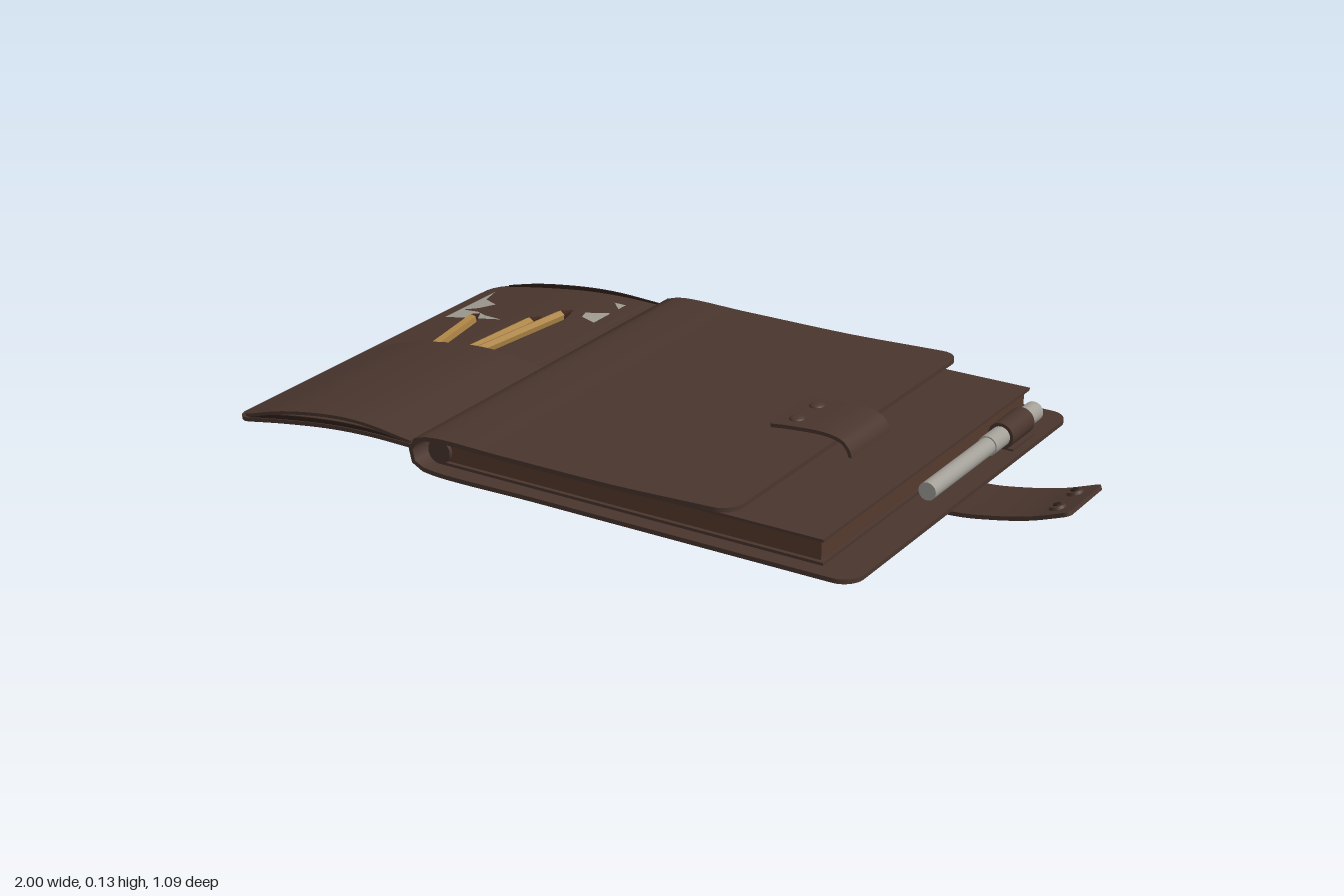
import * as THREE from 'three';

const mat = (name, color, side = THREE.FrontSide) => {
  const m = new THREE.MeshStandardMaterial({ color, side });
  m.name = name;
  return m;
};

// Smooth curve through x,y points
const curveOf = (pts) =>
  new THREE.CatmullRomCurve3(pts.map(([x, y]) => new THREE.Vector3(x, y, 0)), false, 'centripetal');

// Leather sheet: a flat section swept along an x,y path, with rounded corners at either end
function sheetGeometry(pts, z0, z1, thick, rStart = 0, rEnd = 0) {
  const curve = curveOf(pts);
  const len = curve.getLength();
  const stations = [];
  const arc = 8;
  if (rStart) for (let i = 0; i < arc; i++) {
    const a = (i / arc) * Math.PI / 2;
    stations.push([rStart * (1 - Math.cos(a)), rStart * (1 - Math.sin(a))]);
  }
  const n = 64;
  for (let i = 0; i <= n; i++) stations.push([rStart + (len - rStart - rEnd) * i / n, 0]);
  if (rEnd) for (let i = arc - 1; i >= 0; i--) {
    const a = (i / arc) * Math.PI / 2;
    stations.push([len - rEnd * (1 - Math.cos(a)), rEnd * (1 - Math.sin(a))]);
  }
  const rings = stations.map(([s, inset]) => {
    const u = Math.min(1, Math.max(0, s / len));
    const p = curve.getPointAt(u), t = curve.getTangentAt(u);
    const nx = -t.y * thick / 2, ny = t.x * thick / 2;
    return [
      [p.x + nx, p.y + ny, z0 + inset], [p.x + nx, p.y + ny, z1 - inset],
      [p.x - nx, p.y - ny, z1 - inset], [p.x - nx, p.y - ny, z0 + inset],
    ];
  });
  const pos = [], idx = [];
  for (let k = 0; k < 4; k++) {
    const base = pos.length / 3;
    rings.forEach((r) => pos.push(...r[k], ...r[(k + 1) % 4]));
    for (let i = 0; i < rings.length - 1; i++) {
      const a = base + i * 2;
      idx.push(a, a + 1, a + 2, a + 1, a + 3, a + 2);
    }
  }
  for (const cap of [[...rings[0]].reverse(), rings[rings.length - 1]]) {
    const b = pos.length / 3;
    cap.forEach((v) => pos.push(...v));
    idx.push(b, b + 1, b + 2, b, b + 2, b + 3);
  }
  const g = new THREE.BufferGeometry();
  g.setAttribute('position', new THREE.Float32BufferAttribute(pos, 3));
  g.setIndex(idx);
  g.computeVertexNormals();
  return g;
}

export function createModel() {
  const model = new THREE.Group();
  model.name = 'leatherFolio';
  const leather = mat('leather', 0x4a362e);
  const pageEdge = mat('notebook edge brown', 0x553a2d);
  const dark = mat('dark leather', 0x30211b);
  const silver = mat('pen grey', 0xa3a098);
  const paper = mat('paper grey', 0xa09c92, THREE.DoubleSide);
  const wood = mat('pencil yellow', 0xa98243);
  const tip = mat('pencil tip', 0x3c241a);

  const add = (name, geo, material, x = 0, y = 0, z = 0, parent = model) => {
    const m = new THREE.Mesh(geo, material);
    m.name = name;
    m.position.set(x, y, z);
    parent.add(m);
    return m;
  };
  const box = (name, x0, x1, y0, y1, z0, z1, material) =>
    add(name, new THREE.BoxGeometry(x1 - x0, y1 - y0, z1 - z0), material,
      (x0 + x1) / 2, (y0 + y1) / 2, (z0 + z1) / 2);

  // Cover: back board, rounded spine and front board in one wrap
  add('cover', sheetGeometry([
    [0.71, 0.016], [0.3, 0.016], [-0.1, 0.016], [-0.42, 0.017], [-0.45, 0.027], [-0.462, 0.055],
    [-0.45, 0.085], [-0.41, 0.098], [-0.2, 0.099], [0.1, 0.1], [0.3, 0.107], [0.41, 0.111],
  ], -0.545, 0.54, 0.011, 0.05, 0.05), leather);
  add('coverLining', sheetGeometry([[-0.15, 0.088], [0.1, 0.091], [0.39, 0.1]],
    -0.52, 0.51, 0.005, 0, 0.04), leather);

  // Notebook with recessed page block and a round spine
  box('notebookBack', -0.41, 0.615, 0.022, 0.029, -0.51, 0.5, leather);
  box('notebookPages', -0.4, 0.605, 0.029, 0.077, -0.5, 0.49, pageEdge);
  box('notebookFront', -0.41, 0.615, 0.077, 0.084, -0.51, 0.5, leather);
  const spine = add('notebookSpine', new THREE.CylinderGeometry(0.031, 0.031, 1.01, 20), leather, -0.41, 0.053, -0.005);
  spine.rotation.x = Math.PI / 2;

  // Side flap with a raised pocket
  const flapPts = [[-1, 0.018], [-0.85, 0.044], [-0.7, 0.064], [-0.58, 0.071], [-0.46, 0.07]];
  add('sideFlap', sheetGeometry(flapPts, -0.54, 0.54, 0.01, 0.05, 0), leather);
  add('flapPocket', sheetGeometry(
    [[-0.99, 0.025], [-0.85, 0.066], [-0.7, 0.09], [-0.6, 0.093], [-0.465, 0.078]],
    0, 0.538, 0.008, 0.05, 0), leather);
  for (const z of [-0.537, 0.533])
    add('pocketStitchEdge', sheetGeometry(
      [[-0.95, 0.03], [-0.85, 0.053], [-0.7, 0.073], [-0.6, 0.078], [-0.465, 0.073]],
      z, z + 0.004, 0.012), dark);
  const samples = curveOf(flapPts).getPoints(120);
  const flapY = (x) =>
    samples.reduce((a, b) => (Math.abs(b.x - x) < Math.abs(a.x - x) ? b : a)).y;

  // Pencils tucked in the pocket
  const pencil = (tx, tz, bx, bz) => {
    const g = new THREE.Group();
    g.name = 'pencil';
    const a = new THREE.Vector3(bx, flapY(bx) + 0.013, bz);
    const b = new THREE.Vector3(tx, flapY(tx) + 0.013, tz);
    const dir = b.clone().sub(a), len = dir.length(), cone = 0.05;
    g.position.copy(a);
    g.quaternion.setFromUnitVectors(new THREE.Vector3(0, 1, 0), dir.normalize());
    const hex = (name, r1, r0, y0, y1, m) => add(name,
      new THREE.CylinderGeometry(r1, r0, y1 - y0, 6).toNonIndexed(), m, 0, (y0 + y1) / 2, 0, g)
      .geometry.computeVertexNormals();
    hex('pencilBarrel', 0.015, 0.015, 0, len - cone, wood);
    hex('pencilPoint', 0.001, 0.015, len - cone, len, tip);
    model.add(g);
  };
  pencil(-0.86, -0.275, -0.795, 0.04);
  pencil(-0.625, -0.365, -0.672, 0.04);
  pencil(-0.672, -0.29, -0.694, 0.04);

  // Paper showing on the flap
  const scraps = [
    [[-0.95, -0.47], [-0.93, -0.4], [-0.87, -0.36], [-0.9, -0.325], [-0.94, -0.31], [-0.88, -0.295],
      [-0.84, -0.27], [-0.77, -0.245], [-0.95, -0.245]],
    [[-0.565, -0.47], [-0.53, -0.47], [-0.53, -0.435]],
    [[-0.53, -0.4], [-0.59, -0.37], [-0.58, -0.34], [-0.53, -0.32]],
  ];
  scraps.forEach((pts) => {
    const g = new THREE.ShapeGeometry(new THREE.Shape(pts.map(([x, z]) => new THREE.Vector2(x, -z))));
    g.rotateX(-Math.PI / 2);
    const p = g.attributes.position;
    for (let i = 0; i < p.count; i++) p.setY(i, flapY(p.getX(i)) + 0.011);
    g.computeVertexNormals();
    add('paperScrap', g, paper);
  });

  // Closing strap, attached under the back board
  add('closingStrap', sheetGeometry(
    [[0.37, 0.006], [0.55, 0.006], [0.72, 0.007], [0.8, 0.018], [0.9, 0.04], [0.998, 0.074]],
    -0.095, 0.085, 0.01, 0.01, 0.015), leather);
  // Clasp tab folding over the front board
  add('claspTab', sheetGeometry(
    [[0.235, 0.117], [0.3, 0.124], [0.39, 0.127], [0.43, 0.117], [0.447, 0.098], [0.453, 0.08]],
    -0.095, 0.09, 0.009, 0.012, 0), leather);

  // Snap studs on strap and clasp
  for (const z of [-0.05, 0.042]) {
    const stud = new THREE.SphereGeometry(0.02, 16, 8, 0, Math.PI * 2, 0, Math.PI / 2).scale(1, 0.45, 1);
    add('claspStud', stud, leather, 0.285, 0.126, z);
    const ring = add('strapStud', new THREE.CylinderGeometry(0.018, 0.022, 0.012, 18), leather, 0.95, 0.063, z);
    ring.rotation.z = 0.32;
    const core = add('strapStudCentre', new THREE.CylinderGeometry(0.009, 0.009, 0.006, 14), dark, 0.948, 0.069, z);
    core.rotation.z = 0.32;
  }

  // Pen in its leather loop
  const rod = (name, r, z0, z1, m) => {
    add(name, new THREE.CylinderGeometry(r, r, z1 - z0, 24), m, 0.656, 0.053, (z0 + z1) / 2)
      .rotation.x = Math.PI / 2;
  };
  rod('penBarrel', 0.022, -0.2, 0.1, silver);
  rod('penCap', 0.025, -0.45, -0.2, silver);
  rod('penLoop', 0.033, -0.385, -0.27, leather);
  box('penLoopBase', 0.61, 0.69, 0.02, 0.026, -0.385, -0.27, leather);

  return model;
}
